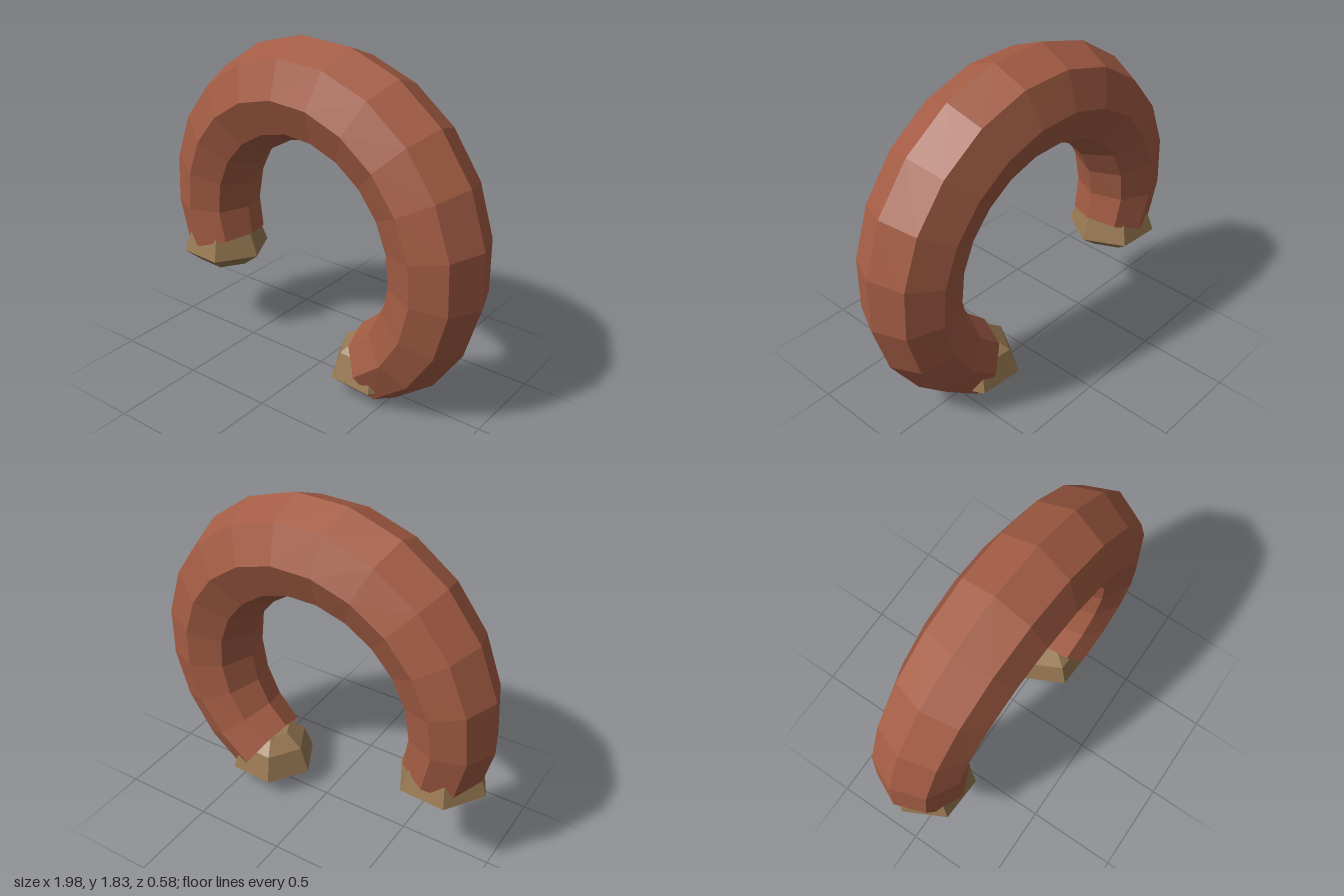
import * as THREE from 'three';

const RINGS = 15, SIDES = 8;
const START = THREE.MathUtils.degToRad(-56.6), ARC = THREE.MathUtils.degToRad(255);

// Open arched tube, slightly thinner towards both ends
function archGeometry() {
  const geo = new THREE.TorusGeometry(0.765, 0.27, SIDES, RINGS, ARC);
  const pos = geo.attributes.position;
  for (let j = 0; j <= SIDES; j++) {
    for (let i = 0; i <= RINGS; i++) {
      const s = Math.max(0, Math.sin((Math.PI * i) / RINGS));
      const r = 0.215 + 0.055 * s;
      const R = 0.746 + 0.02 * Math.sqrt(s);
      const u = START + (ARC * i) / RINGS, v = (j / SIDES) * Math.PI * 2;
      const d = R + r * Math.cos(v);
      pos.setXYZ(j * (RINGS + 1) + i, d * Math.cos(u), d * Math.sin(u), r * Math.sin(v));
    }
  }
  geo.computeVertexNormals();
  return geo;
}

// Six-sided faceted knob, widest at y = 0
function knobGeometry() {
  const profile = [[0, -0.08], [0.145, -0.08], [0.245, 0], [0.195, 0.14], [0.1, 0.21], [0, 0.21]];
  const geo = new THREE.LatheGeometry(profile.map(([x, y]) => new THREE.Vector2(x, y)), 6);
  return geo.rotateY(Math.PI / 6);
}

export function createModel() {
  const clay = new THREE.MeshStandardMaterial({ color: 0xa35c44, flatShading: true, side: THREE.DoubleSide });
  clay.name = 'reddish brown';
  const tan = new THREE.MeshStandardMaterial({ color: 0x977852, flatShading: true });
  tan.name = 'tan';

  const model = new THREE.Group();
  model.name = 'archedTube';
  model.rotation.y = -0.055;

  const arch = new THREE.Mesh(archGeometry(), clay);
  arch.name = 'arch';
  arch.position.set(-0.008, 0.804, 0);
  model.add(arch);

  // Knobs plugging the two open ends
  const knob = knobGeometry();
  for (const [name, x, y, z] of [['rightKnob', -0.725, 0.5, 0], ['leftKnob', 0.37, 0.11, -0.01]]) {
    const mesh = new THREE.Mesh(knob, tan);
    mesh.name = name;
    mesh.position.set(x, y, z);
    model.add(mesh);
  }

  const root = new THREE.Group();
  root.name = 'model';
  root.add(model);
  return root;
}
